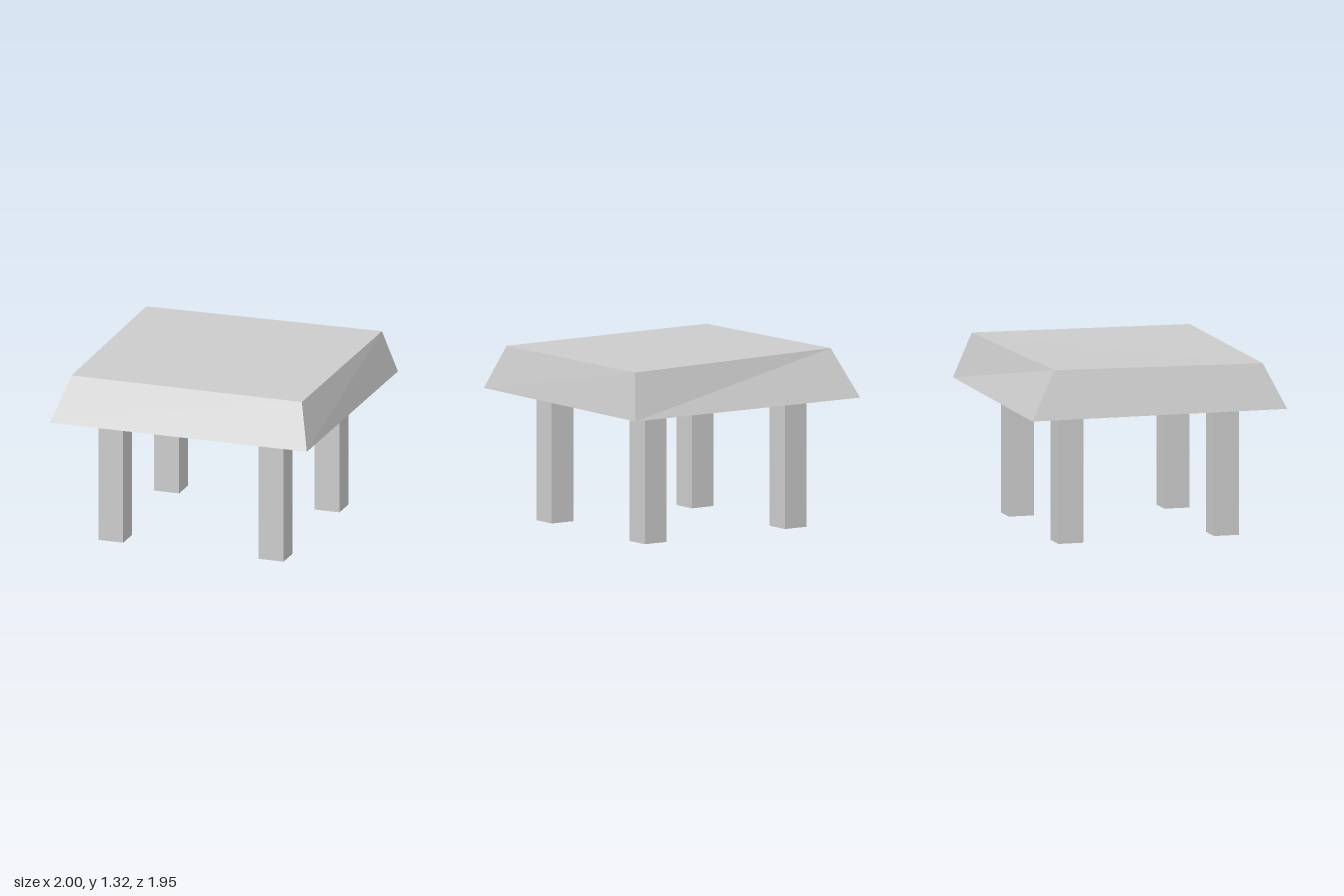
import * as THREE from 'three';

const grey = new THREE.MeshStandardMaterial({ color: 0xcccccc, flatShading: true });

// Slab corners: [x, y, z] keyed by top/bottom, right/left (+x is left), front/back
const corners = {
  bottomRightBack: [-1, 0.965, -0.975],
  bottomLeftBack: [1, 0.968, -0.975],
  bottomRightFront: [-0.99, 0.962, 0.97],
  bottomLeftFront: [1, 0.967, 0.957],
  topRightBack: [-0.88, 1.315, -0.77],
  topLeftBack: [0.92, 1.307, -0.855],
  topRightFront: [-0.88, 1.29, 0.817],
  topLeftFront: [0.905, 1.29, 0.803],
};

// A box whose corners are pulled to the slightly uneven tapered slab
function taperedSlab() {
  const geometry = new THREE.BoxGeometry(1, 1, 1);
  const p = geometry.attributes.position;
  for (let i = 0; i < p.count; i++) {
    const key = (p.getY(i) > 0 ? 'top' : 'bottom')
      + (p.getX(i) > 0 ? 'Left' : 'Right')
      + (p.getZ(i) > 0 ? 'Front' : 'Back');
    p.setXYZ(i, ...corners[key]);
  }
  geometry.computeVertexNormals();
  return geometry;
}

export function createModel() {
  const model = new THREE.Group();
  model.name = 'table';

  // Tapered table top
  const top = new THREE.Mesh(taperedSlab(), grey);
  top.name = 'tableTop';
  model.add(top);

  // Four square legs
  const height = 0.966;
  const legGeometry = new THREE.BoxGeometry(0.193, height, 0.193);
  for (const [end, z] of [['front', 0.59], ['back', -0.597]]) {
    for (const [side, x] of [['Right', -0.623], ['Left', 0.623]]) {
      const leg = new THREE.Mesh(legGeometry, grey);
      leg.name = `${end}${side}Leg`;
      leg.position.set(x, height / 2, z);
      model.add(leg);
    }
  }
  return model;
}
